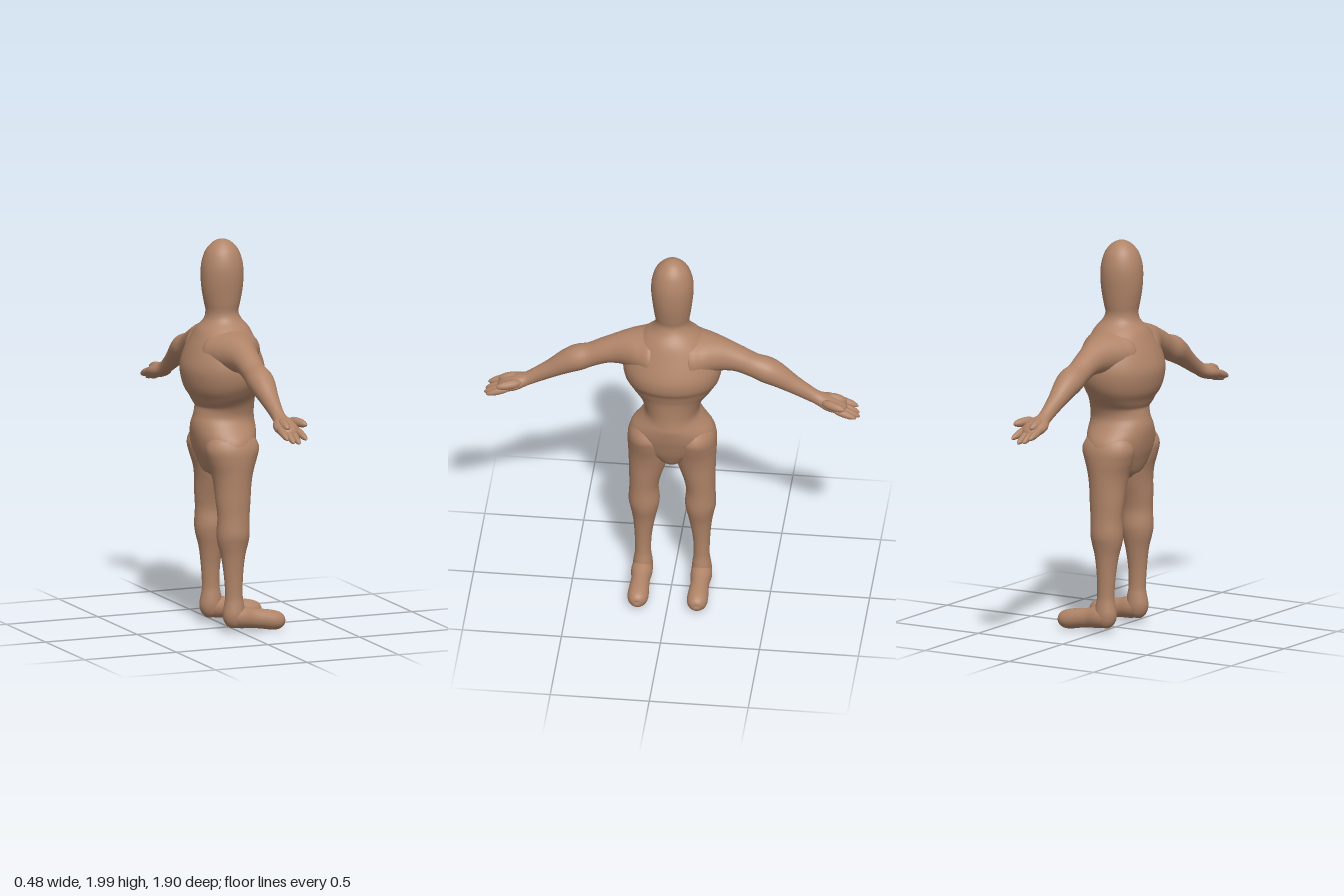
import * as THREE from 'three';

const X = new THREE.Vector3(1, 0, 0);
const Z = new THREE.Vector3(0, 0, 1);

// Smooth closed skin through elliptical sections [x, y, z, radius along axis, other radius]
function loft(name, material, sections, axis, sides = 28, steps = 4) {
  const path = new THREE.CatmullRomCurve3(sections.map(s => new THREE.Vector3(s[0], s[1], s[2])), false, 'catmullrom', 0.5);
  const radii = new THREE.CatmullRomCurve3(sections.map(s => new THREE.Vector3(s[3], s[4], 0)), false, 'catmullrom', 0.5);
  const rings = (sections.length - 1) * steps;
  const positions = [], index = [];
  for (let i = 0; i <= rings; i++) {
    const u = i / rings, p = path.getPoint(u), r = radii.getPoint(u), t = path.getTangent(u);
    const a = axis.clone().addScaledVector(t, -axis.dot(t)).normalize();
    const b = t.clone().cross(a);
    for (let j = 0; j < sides; j++) {
      const ang = j / sides * Math.PI * 2;
      const q = p.clone()
        .addScaledVector(a, Math.cos(ang) * Math.max(r.x, 0.0005))
        .addScaledVector(b, Math.sin(ang) * Math.max(r.y, 0.0005));
      positions.push(q.x, q.y, q.z);
      if (i < rings) {
        const k = (j + 1) % sides, o = i * sides, n = o + sides;
        index.push(o + j, o + k, n + k, o + j, n + k, n + j);
      }
    }
  }
  const g = new THREE.BufferGeometry();
  g.setAttribute('position', new THREE.Float32BufferAttribute(positions, 3));
  g.setIndex(index);
  g.computeVertexNormals();
  const mesh = new THREE.Mesh(g, material);
  mesh.name = name;
  return mesh;
}

// Tapered finger between two points
function finger(name, material, from, to, r) {
  const a = new THREE.Vector3(...from), b = new THREE.Vector3(...to);
  const profile = [[0, 0], [0.06, 0.55], [0.25, 0.95], [0.5, 1], [0.75, 0.85], [0.94, 0.45], [1, 0]];
  return loft(name, material, profile.map(([u, k]) => [...a.clone().lerp(b, u).toArray(), r * k, r * k]), X, 12, 2);
}

export function createModel() {
  const model = new THREE.Group();
  model.name = 'figure';
  const skin = new THREE.MeshStandardMaterial({ color: 0xb08468 });
  skin.name = 'skin';

  // Trunk, neck and head: [y, back x, front x, half width]
  const trunk = [
    [0.775, -0.04, -0.03, 0], [0.785, -0.09, 0.02, 0.035], [0.81, -0.125, 0.06, 0.09], [0.85, -0.148, 0.082, 0.15],
    [0.9, -0.166, 0.1, 0.2], [0.95, -0.182, 0.115, 0.218], [1.0, -0.192, 0.126, 0.205], [1.05, -0.196, 0.132, 0.165],
    [1.1, -0.184, 0.127, 0.138], [1.16, -0.176, 0.126, 0.152], [1.22, -0.2, 0.138, 0.198], [1.28, -0.234, 0.16, 0.234],
    [1.35, -0.244, 0.17, 0.248], [1.42, -0.225, 0.152, 0.236], [1.5, -0.19, 0.12, 0.195], [1.55, -0.165, 0.095, 0.145],
    [1.59, -0.132, 0.06, 0.1], [1.63, -0.12, 0.045, 0.085], [1.68, -0.129, 0.055, 0.092], [1.75, -0.141, 0.068, 0.101],
    [1.82, -0.145, 0.072, 0.107], [1.88, -0.14, 0.067, 0.103], [1.94, -0.12, 0.048, 0.084], [1.98, -0.086, 0.014, 0.05],
    [1.995, -0.058, -0.014, 0.022], [2.0, -0.036, -0.036, 0],
  ];
  model.add(loft('trunkAndHead', skin, trunk.map(([y, b, f, w]) => [(b + f) / 2, y, 0, (f - b) / 2, w]), X, 40));

  // Leg: [y, back x, front x, inner z, outer z]
  const leg = [
    [1.04, -0.04, -0.03, 0.1, 0.105], [1.02, -0.13, 0.07, 0.05, 0.165], [0.96, -0.172, 0.108, 0.015, 0.218], [0.9, -0.163, 0.098, 0.005, 0.225],
    [0.83, -0.14, 0.076, 0.012, 0.223], [0.76, -0.128, 0.062, 0.03, 0.221], [0.68, -0.124, 0.054, 0.055, 0.219],
    [0.6, -0.118, 0.047, 0.07, 0.217], [0.52, -0.122, 0.047, 0.064, 0.221], [0.47, -0.117, 0.041, 0.07, 0.213],
    [0.4, -0.099, 0.024, 0.086, 0.2], [0.3, -0.086, 0.012, 0.103, 0.191], [0.2, -0.08, 0.01, 0.108, 0.188],
    [0.15, -0.086, 0.018, 0.102, 0.194], [0.1, -0.093, 0.025, 0.098, 0.2], [0.06, -0.075, 0.02, 0.108, 0.192],
    [0.04, -0.045, 0.0, 0.13, 0.17], [0.036, -0.022, -0.022, 0.15, 0.15],
  ];
  // Foot: [x, y, half width, half height]
  const foot = [
    [-0.09, 0.1, 0, 0], [-0.08, 0.1, 0.028, 0.028], [-0.05, 0.097, 0.047, 0.05], [0, 0.088, 0.054, 0.057],
    [0.06, 0.078, 0.047, 0.05], [0.12, 0.07, 0.05, 0.05], [0.175, 0.06, 0.053, 0.05], [0.212, 0.054, 0.045, 0.042],
    [0.234, 0.05, 0.024, 0.023], [0.24, 0.05, 0, 0],
  ];
  // Arm and palm: [z, y, half depth, half thickness]
  const arm = [
    [0.05, 1.44, 0, 0], [0.09, 1.44, 0.15, 0.115], [0.16, 1.445, 0.132, 0.103], [0.22, 1.442, 0.1, 0.092],
    [0.28, 1.432, 0.076, 0.078], [0.34, 1.415, 0.066, 0.066], [0.41, 1.384, 0.061, 0.061], [0.475, 1.36, 0.068, 0.067],
    [0.53, 1.332, 0.062, 0.061], [0.6, 1.287, 0.048, 0.048], [0.68, 1.238, 0.036, 0.039], [0.735, 1.207, 0.037, 0.034],
    [0.785, 1.188, 0.06, 0.037], [0.83, 1.173, 0.062, 0.034], [0.868, 1.158, 0.04, 0.023], [0.885, 1.15, 0, 0],
  ];
  // Fingers: [name, start, end, radius]
  const fingers = [
    ['littleFinger', [-0.078, 1.185, 0.81], [-0.076, 1.14, 0.935], 0.019],
    ['ringFinger', [-0.045, 1.175, 0.82], [-0.046, 1.122, 0.945], 0.019],
    ['middleFinger', [-0.016, 1.17, 0.82], [-0.018, 1.118, 0.95], 0.019],
    ['indexFinger', [0.012, 1.175, 0.81], [0.026, 1.135, 0.935], 0.019],
    ['thumb', [0.005, 1.208, 0.76], [0.05, 1.198, 0.88], 0.023],
    ['knuckle', [-0.05, 1.208, 0.77], [-0.05, 1.185, 0.88], 0.025],
  ];

  for (const s of [1, -1]) {
    const side = s > 0 ? 'left' : 'right';
    model.add(loft(side + 'Leg', skin, leg.map(([y, b, f, i, o]) =>
      [(b + f) / 2, y, s * (i + o) / 2, (f - b) / 2, (o - i) / 2]), X));
    model.add(loft(side + 'Foot', skin, foot.map(([x, y, w, h]) => [x, y, s * 0.15, w, h]), Z));
    model.add(loft(side + 'Arm', skin, arm.map(([z, y, d, t]) => [-0.034, y, s * z, d, t]), X));
    const hand = new THREE.Group();
    hand.name = side + 'Fingers';
    for (const [name, a, b, r] of fingers)
      hand.add(finger(name, skin, [a[0], a[1], s * a[2]], [b[0], b[1], s * b[2]], r));
    model.add(hand);
  }
  return model;
}
